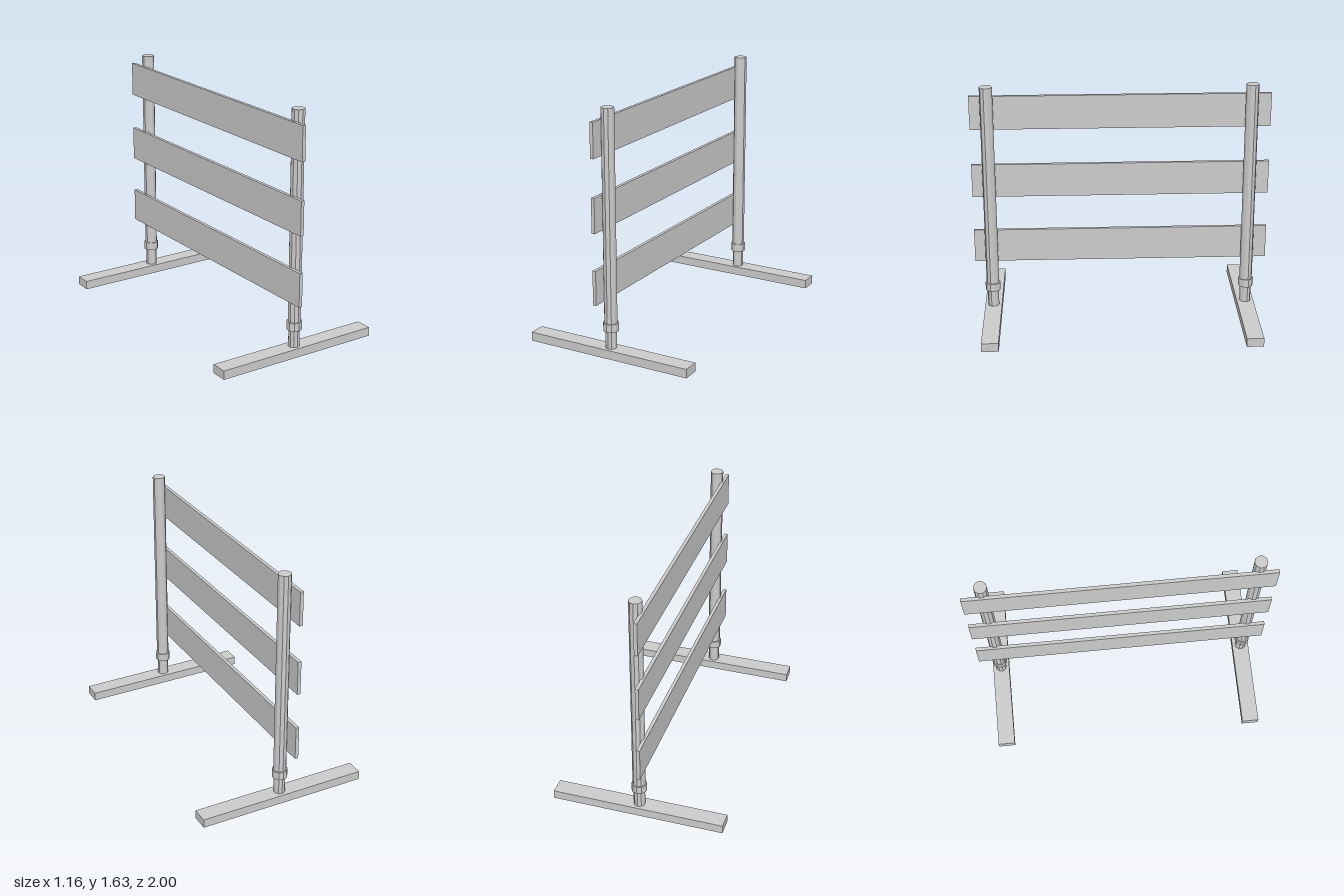
import * as THREE from 'three';

export function createModel() {
  const model = new THREE.Group();
  const material = new THREE.MeshStandardMaterial({ color: 0xcccccc, flatShading: true });

  function add(parent, name, geometry, x, y, z) {
    const mesh = new THREE.Mesh(geometry, material);
    mesh.name = name;
    mesh.position.set(x, y, z);
    parent.add(mesh);
  }

  // Ten-sided vertical tube between two heights
  function addTube(parent, name, radius, bottom, top) {
    const geometry = new THREE.CylinderGeometry(radius, radius, top - bottom, 10);
    add(parent, name, geometry, 0, (bottom + top) / 2, 0);
  }

  // Two stands: foot, post and collar
  for (const [name, z] of [['frontStand', 0.883], ['backStand', -0.867]]) {
    const stand = new THREE.Group();
    stand.name = name;
    stand.position.z = z;
    add(stand, 'foot', new THREE.BoxGeometry(1.164, 0.06, 0.115), 0, 0.03, 0);
    addTube(stand, 'lowerPost', 0.038, 0.06, 0.2);
    addTube(stand, 'collar', 0.051, 0.177, 0.232);
    addTube(stand, 'upperPost', 0.043, 0.2, 1.632);
    model.add(stand);
  }

  // Three boards fixed to the right side of the posts
  const boards = { lowerBoard: 0.491, middleBoard: 0.965, upperBoard: 1.443 };
  for (const [name, y] of Object.entries(boards)) {
    add(model, name, new THREE.BoxGeometry(0.023, 0.23, 2), -0.043, y, 0);
  }

  return model;
}
